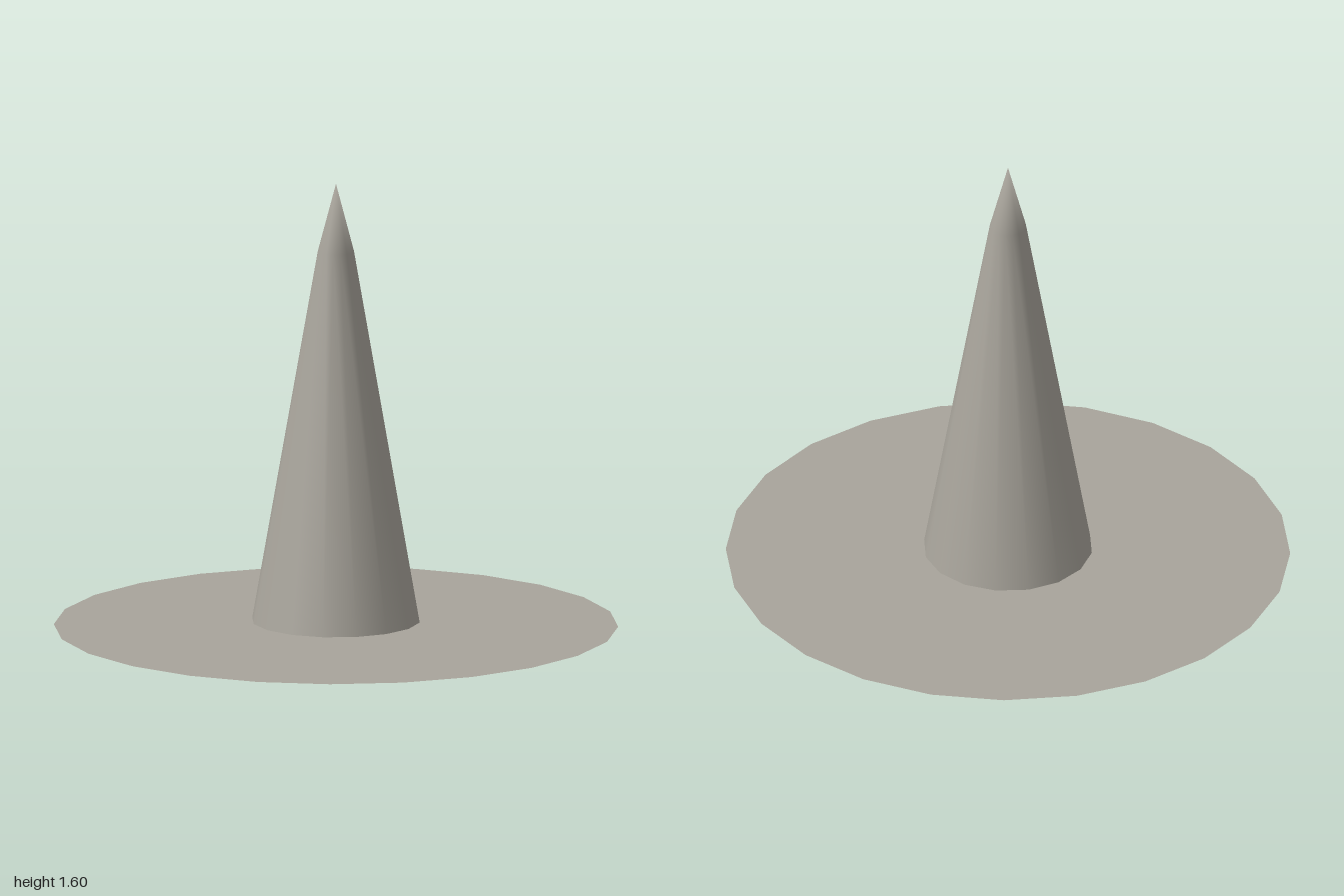
import * as THREE from 'three';
import { mergeVertices } from 'three/addons/utils/BufferGeometryUtils.js';

const stone = new THREE.MeshStandardMaterial({ color: 0xa8a49b, side: THREE.DoubleSide });
stone.name = 'warm grey';

// Flat horizontal disc facing up
function disc(name, radius, y) {
  const geometry = new THREE.CircleGeometry(radius, 24).rotateX(-Math.PI / 2);
  const mesh = new THREE.Mesh(geometry, stone);
  mesh.name = name;
  mesh.position.y = y;
  return mesh;
}

// Tapered spike with a steeper tip; welded so shading runs smoothly over the apex
function spike() {
  const profile = [[0.3, 0.02], [0.065, 1.355], [0, 1.6]].map(([r, y]) => new THREE.Vector2(r, y));
  let geometry = new THREE.LatheGeometry(profile, 16);
  geometry.deleteAttribute('uv');
  geometry.deleteAttribute('normal');
  geometry = mergeVertices(geometry, 1e-4);
  geometry.computeVertexNormals();
  const mesh = new THREE.Mesh(geometry, stone);
  mesh.name = 'spike';
  return mesh;
}

export function createModel() {
  const model = new THREE.Group();
  model.name = 'spikeOnDisc';
  model.add(disc('baseDisc', 1, 0), disc('innerDisc', 0.915, 0.01), spike());
  return model;
}
